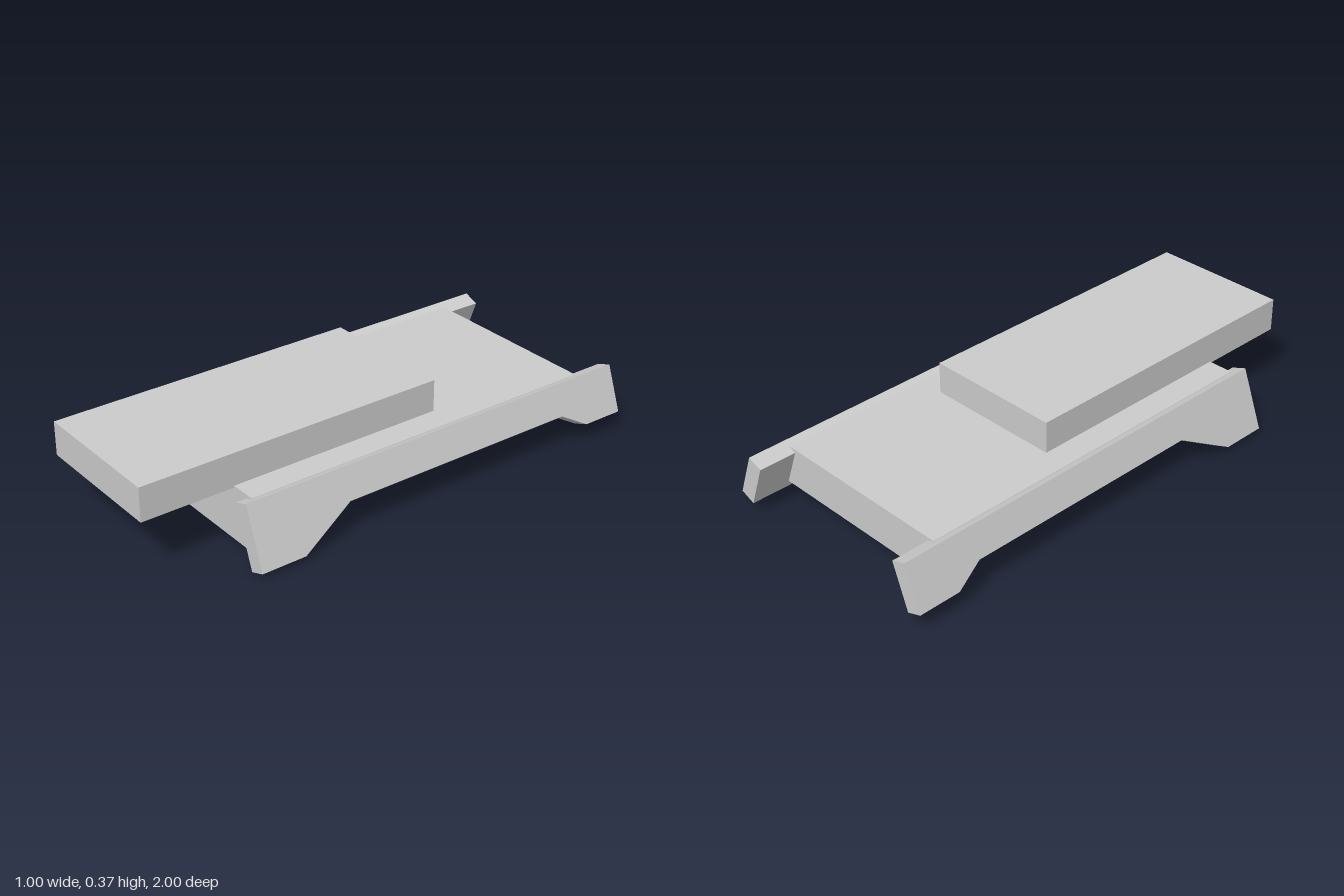
import * as THREE from 'three';

const material = new THREE.MeshStandardMaterial({ color: 0xcccccc, flatShading: true });

// Extrudes a (z, y) outline across x, centred on x = 0
function extrudeAcross(points, width) {
  const shape = new THREE.Shape(points.map(([z, y]) => new THREE.Vector2(-z, y)));
  const geometry = new THREE.ExtrudeGeometry(shape, { depth: width, bevelEnabled: false });
  geometry.translate(0, 0, -width / 2);
  geometry.rotateY(Math.PI / 2);
  return geometry;
}

function addMesh(group, name, geometry) {
  const mesh = new THREE.Mesh(geometry, material);
  mesh.name = name;
  group.add(mesh);
  return mesh;
}

export function createModel() {
  const group = new THREE.Group();
  group.name = 'steppedPlatform';

  // Main body with stepped underside, flaring outward toward the bottom
  const tilt = THREE.MathUtils.degToRad(20.8);
  const top = 0.245;
  const body = extrudeAcross([
    [0.635, top], [0.635, 0.03], [0.5, 0.03], [0.28, 0.144],
    [-0.72, 0.144], [-0.83, 0.084], [-0.85, 0.084], [-0.85, top],
  ], 2);
  const p = body.attributes.position;
  for (let i = 0; i < p.count; i++) {
    p.setX(i, Math.sign(p.getX(i)) * (0.38 + (top - p.getY(i)) * Math.tan(tilt)));
  }
  body.computeVertexNormals();
  addMesh(group, 'body', body);

  // Leaning side panels with a deep front foot and a shallower rear foot
  const panel = extrudeAcross([
    [0.68, 0], [0.68, -0.245], [0.5, -0.245], [0.28, -0.123],
    [-0.72, -0.123], [-0.83, -0.187], [-1, -0.187], [-1, 0],
  ], 0.065);
  for (const side of [1, -1]) {
    const mesh = addMesh(group, side > 0 ? 'leftPanel' : 'rightPanel', panel);
    mesh.position.set(side * 0.381, 0.243, 0);
    mesh.rotation.z = side * tilt;
  }

  // Upper slab overhanging the front
  const slab = addMesh(group, 'upperSlab', new THREE.BoxGeometry(0.554, 0.132, 1.237));
  slab.position.set(0, 0.304, 0.3815);

  return group;
}
